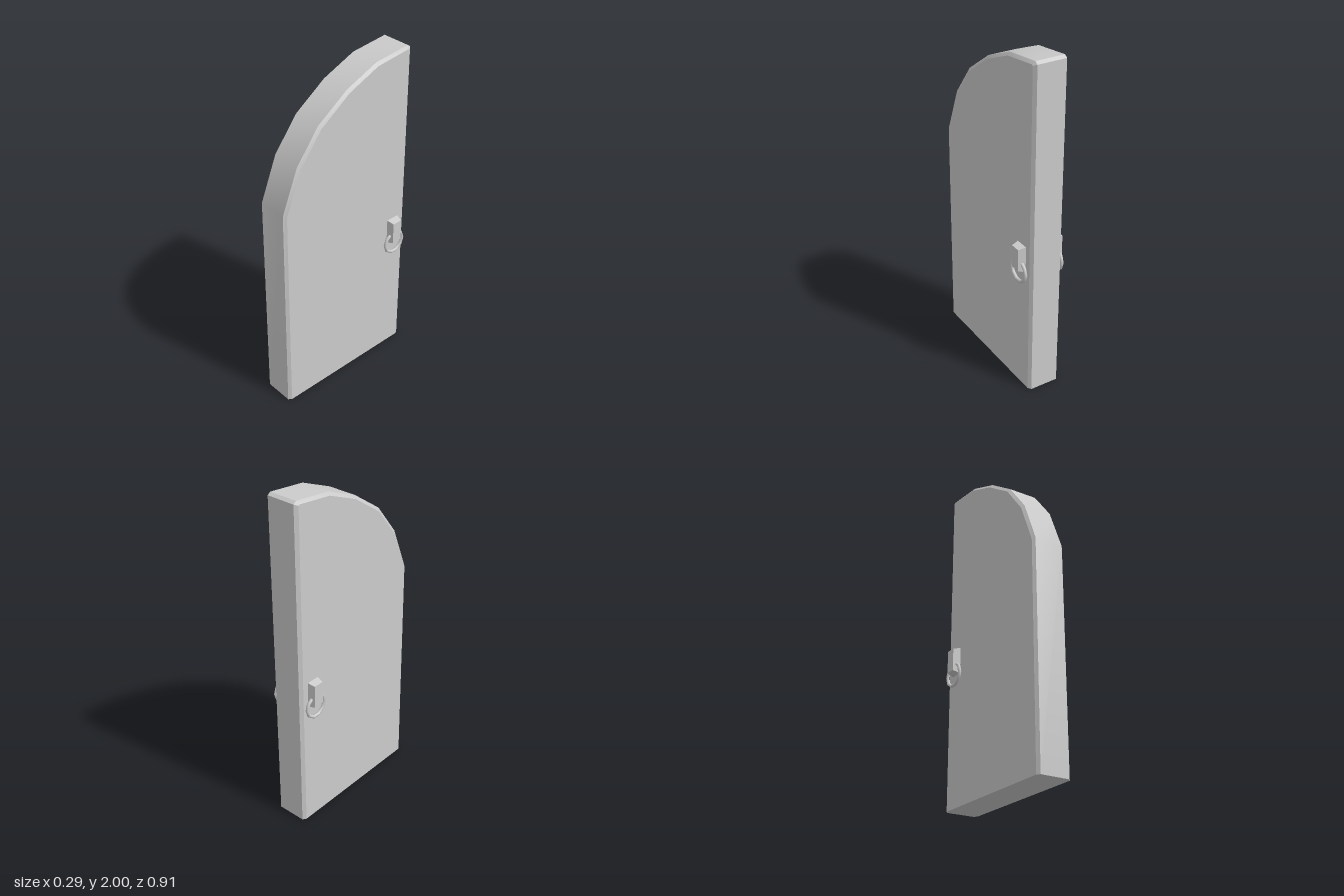
import * as THREE from 'three';
import { toCreasedNormals } from 'three/addons/utils/BufferGeometryUtils.js';

const material = new THREE.MeshStandardMaterial({ color: 0xcccccc });

// Skin convex [z, y] loops placed at increasing x, and cap both ends.
function loft(sections, crease) {
  const pos = [];
  const n = sections[0].loop.length;
  const put = (s, i) => pos.push(s.x, s.loop[i % n][1], s.loop[i % n][0]);
  for (let k = 0; k < sections.length - 1; k++) {
    const a = sections[k], b = sections[k + 1];
    for (let i = 0; i < n; i++) {
      put(a, i); put(a, i + 1); put(b, i);
      put(b, i); put(a, i + 1); put(b, i + 1);
    }
  }
  const first = sections[0], last = sections[sections.length - 1];
  for (let i = 1; i < n - 1; i++) {
    put(first, 0); put(first, i + 1); put(first, i);
    put(last, 0); put(last, i); put(last, i + 1);
  }
  const geo = new THREE.BufferGeometry();
  geo.setAttribute('position', new THREE.Float32BufferAttribute(pos, 3));
  return toCreasedNormals(geo, crease);
}

function addMesh(parent, name, geometry) {
  const mesh = new THREE.Mesh(geometry, material);
  mesh.name = name;
  parent.add(mesh);
  return mesh;
}

// Half-arch leaf outlines as [z, y], running from the front foot to the back foot
const rim = [
  [0.455, 0], [0.443, 1.315], [0.34, 1.57], [0.195, 1.755], [0, 1.89],
  [-0.205, 1.975], [-0.435, 2], [-0.453, 1.987], [-0.453, 0],
].reverse();
const face = [
  [0.437, 0], [0.427, 1.308], [0.327, 1.556], [0.186, 1.738], [-0.007, 1.873],
  [-0.207, 1.957], [-0.425, 1.983], [-0.433, 1.978], [-0.433, 0],
].reverse();

const rect = (z0, z1, y0, y1) => [[z0, y0], [z0, y1], [z1, y1], [z1, y0]];

// Tapered mount with a hanging ring; side is +1 (left) or -1 (right)
function makeHandle(side) {
  const handle = new THREE.Group();
  handle.name = side > 0 ? 'leftHandle' : 'rightHandle';
  const inner = { x: side * 0.095, loop: rect(-0.398, -0.316, 0.78, 0.94) };
  const outer = { x: side * 0.143, loop: rect(-0.388, -0.326, 0.795, 0.929) };
  addMesh(handle, 'handleMount', loft(side > 0 ? [inner, outer] : [outer, inner], 0.2));

  const ring = addMesh(handle, 'handleRing', new THREE.TorusGeometry(0.068, 0.01, 8, 10));
  ring.rotation.y = Math.PI / 2;
  ring.position.set(side * 0.119, 0.78, -0.357);
  return handle;
}

export function createModel() {
  const model = new THREE.Group();
  model.name = 'archedDoor';

  // Door leaf with bevelled side edges
  addMesh(model, 'doorLeaf', loft([
    { x: -0.1, loop: face }, { x: -0.086, loop: rim },
    { x: 0.086, loop: rim }, { x: 0.1, loop: face },
  ], 0.46));

  model.add(makeHandle(1), makeHandle(-1));
  return model;
}
